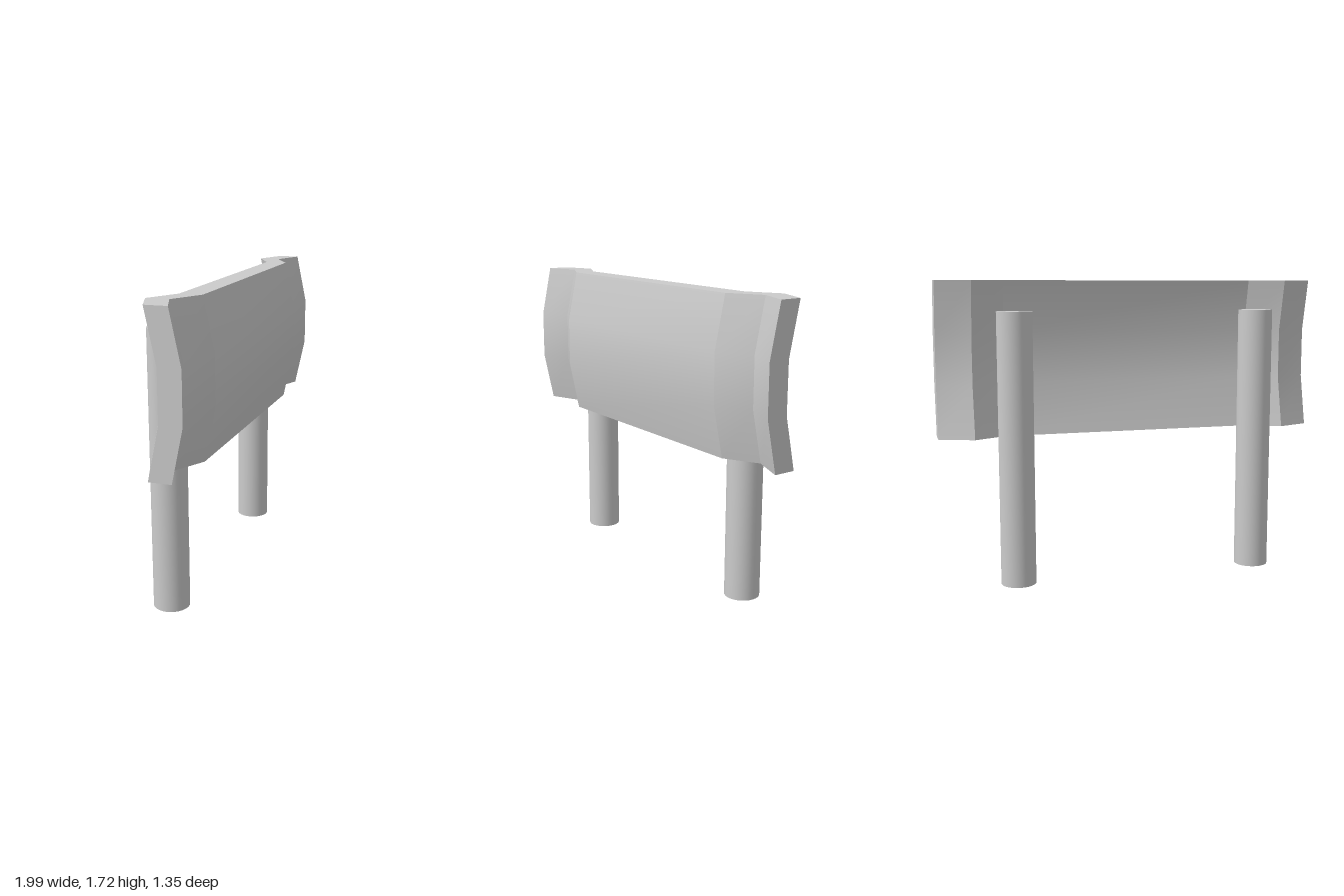
import * as THREE from 'three';
import { toCreasedNormals } from 'three/addons/utils/BufferGeometryUtils.js';

const material = new THREE.MeshStandardMaterial({ color: 0xcccccc });

// Plan of the folded panel at its top and bottom rims, as [x, z]
const FRONT = [[-0.93, 0.614], [-0.806, 0.448], [-0.593, 0.432], [0.651, -0.345], [0.758, -0.533], [0.963, -0.571]];
const BACK = [[-0.998, 0.507], [-0.875, 0.342], [-0.662, 0.326], [0.587, -0.454], [0.694, -0.638], [0.897, -0.678]];
// Heights of the rows, and how far each bulges forward
const LEVELS = [[0.845, 0], [1.14, 1], [1.425, 1], [1.72, 0]];
const BULGE = [0.033, 0.053];

function panelGeometry() {
  const positions = [], index = [];
  const rows = LEVELS.length, ring = rows * 2, last = FRONT.length - 1;
  const add = ([x, z], [y, b]) => positions.push(x + b * BULGE[0], y, z + b * BULGE[1]);
  const quad = (a, b, c, d) => index.push(a, b, c, a, c, d);

  // Each ring climbs the front and comes down the back
  FRONT.forEach((front, i) => {
    LEVELS.forEach((level) => add(front, level));
    [...LEVELS].reverse().forEach((level) => add(BACK[i], level));
  });
  for (let i = 0; i < last; i++) {
    for (let j = 0; j < ring; j++) {
      const k = (j + 1) % ring, a = i * ring, b = a + ring;
      quad(a + j, b + j, b + k, a + k);
    }
  }
  // End faces
  const e = last * ring;
  for (let j = 0; j < rows - 1; j++) {
    const k = ring - 1 - j;
    quad(j, j + 1, k - 1, k);
    quad(e + k, e + k - 1, e + j + 1, e + j);
  }
  const geometry = new THREE.BufferGeometry();
  geometry.setAttribute('position', new THREE.Float32BufferAttribute(positions, 3));
  geometry.setIndex(index);
  // Smooth over the vertical bulge, sharp at the folds
  return toCreasedNormals(geometry, THREE.MathUtils.degToRad(20));
}

export function createModel() {
  const group = new THREE.Group();
  group.name = 'signBoard';

  const panel = new THREE.Mesh(panelGeometry(), material);
  panel.name = 'panel';
  group.add(panel);

  // Posts behind the panel
  const height = 1.55;
  const postGeometry = new THREE.CylinderGeometry(0.1, 0.1, height, 32);
  for (const [name, x, z] of [['rightPost', -0.712, 0.275], ['leftPost', 0.51, -0.493]]) {
    const post = new THREE.Mesh(postGeometry, material);
    post.name = name;
    post.position.set(x, height / 2, z);
    group.add(post);
  }
  return group;
}
